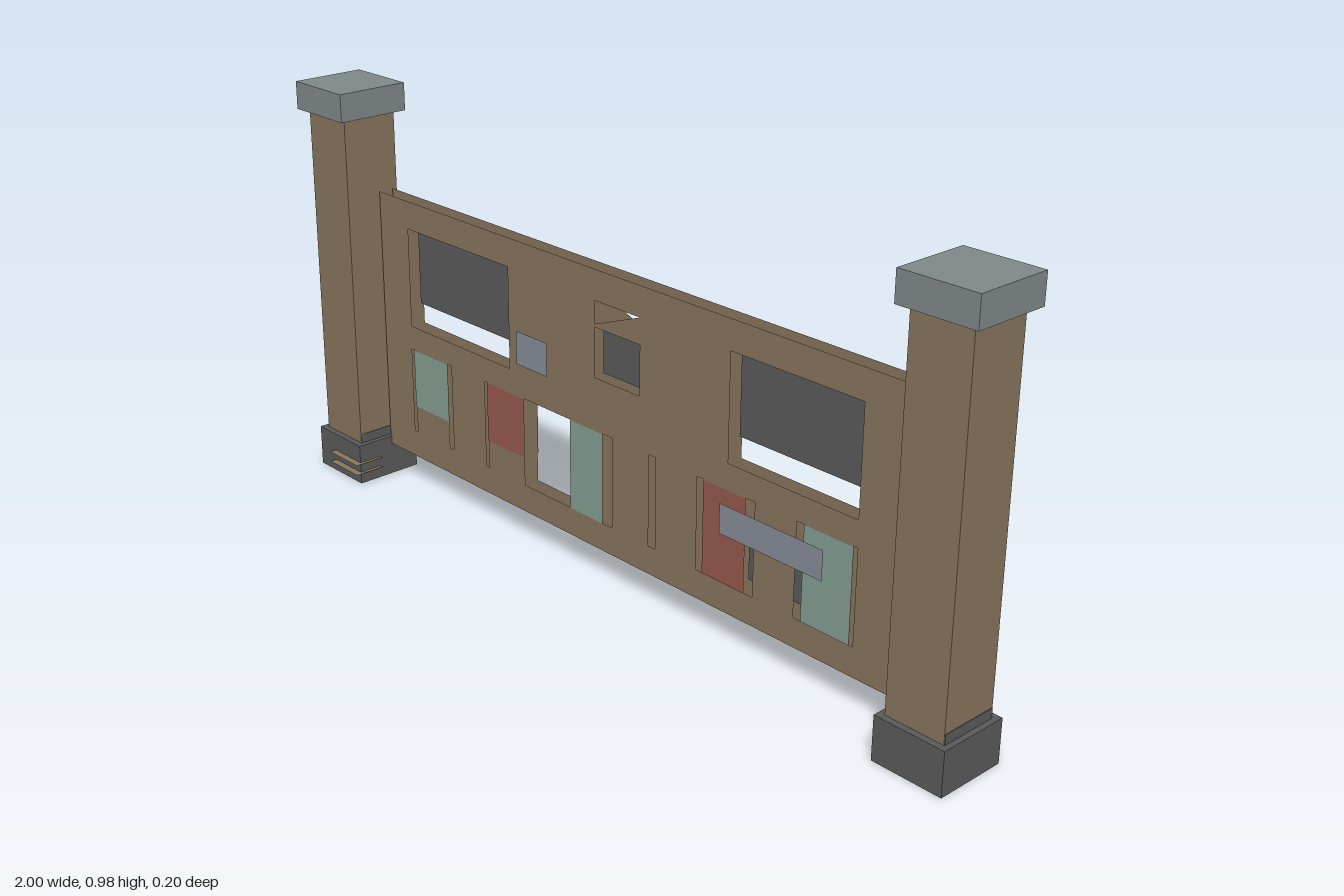
import * as THREE from 'three';

const mat = (name, color, side = THREE.FrontSide) => {
  const m = new THREE.MeshStandardMaterial({ color, side });
  m.name = name;
  return m;
};

export function createModel() {
  const model = new THREE.Group();
  model.name = 'gateWall';

  const brown = mat('brown plaster', 0x86755d, THREE.DoubleSide);
  const stone = mat('grey stone', 0x808889);
  const dark = mat('dark stone', 0x5a5a5a, THREE.DoubleSide);
  const teal = mat('teal paint', 0x839f93, THREE.DoubleSide);
  const red = mat('red paint', 0x96594c, THREE.DoubleSide);
  const sign = mat('blue grey plate', 0x868c95, THREE.DoubleSide);

  const add = (name, geometry, material, x, y, z) => {
    const mesh = new THREE.Mesh(geometry, material);
    mesh.name = name;
    mesh.position.set(x, y, z);
    model.add(mesh);
    return mesh;
  };
  // Flat upright plate given by its edges
  const plate = (name, material, x0, x1, y0, y1, z) =>
    add(name, new THREE.PlaneGeometry(x1 - x0, y1 - y0), material, (x0 + x1) / 2, (y0 + y1) / 2, z);

  // Posts with caps, bases and low ledges
  for (const side of [-1, 1]) {
    const x = side * 0.909;
    add('post', new THREE.BoxGeometry(0.14, 0.815, 0.14), brown, x, 0.5075, 0);
    add('postCap', new THREE.BoxGeometry(0.18, 0.066, 0.18), stone, side * 0.91, 0.947, 0);
    add('postBase', new THREE.BoxGeometry(0.168, 0.1, 0.17), dark, x, 0.05, 0);
    // Dark damp course on two faces of the post
    add('postBandSide', new THREE.BoxGeometry(0.003, 0.023, 0.138), dark, x + 0.07, 0.111, 0);
    add('postBandBack', new THREE.BoxGeometry(0.138, 0.023, 0.003), dark, x, 0.111, -0.07);
    // Thin horizontal ledges passing through the base
    for (const y of [0.03, 0.056]) {
      const ledge = add('baseLedge', new THREE.PlaneGeometry(0.115, 0.077), brown, side * 0.873, y, -side * 0.064);
      ledge.rotation.x = -Math.PI / 2;
    }
  }

  // Wall made of two open skins
  const FRONT = -0.012, BACK = -0.05, LOW = 0.147, HIGH = 0.361;
  const rect = (x0, x1, y0, y1) => [[x0, y0], [x1, y0], [x1, y1], [x0, y1]];
  const slots = [
    [-0.724, -0.713], [-0.585, -0.57], [-0.446, -0.435], [-0.305, -0.145], [-0.04, -0.01],
    [0.106, 0.127], [0.251, 0.271], [0.39, 0.415], [0.528, 0.549], [0.675, 0.685],
  ].map(([a, b]) => rect(a, b, LOW, HIGH));
  const windows = [[-0.72, -0.353], [0.338, 0.683]];

  const skin = (name, holes, z) => {
    const shape = new THREE.Shape(rect(-0.828, 0.79, 0.08, 0.73).map(p => new THREE.Vector2(...p)));
    for (const h of holes) shape.holes.push(new THREE.Path(h.map(p => new THREE.Vector2(...p))));
    add(name, new THREE.ShapeGeometry(shape), brown, 0, 0, z);
  };
  skin('wallFront', [
    ...slots,
    ...windows.map(([a, b]) => rect(a, b, 0.42, 0.662)),
    rect(-0.065, 0.076, 0.485, 0.6),
    [[-0.065, 0.607], [0.076, 0.66], [-0.065, 0.66]],
  ], FRONT);
  skin('wallBack', [
    ...slots,
    ...windows.map(([a, b]) => rect(a, b, 0.42, 0.475)),
    [[0.076, 0.607], [0.076, 0.66], [-0.065, 0.66]],
  ], BACK);

  // Recessed dark panes
  for (const [a, b] of windows) plate('windowPane', dark, a + 0.008, b - 0.008, 0.475, 0.652, -0.035);
  plate('smallPane', dark, -0.057, 0.068, 0.493, 0.592, -0.03);
  plate('innerPanel', dark, 0.385, 0.555, 0.17, 0.27, -0.031);

  // Painted panels on both skins
  const panels = [
    [teal, -0.713, -0.585, 0.216], [red, -0.435, -0.305, 0.216], [teal, -0.145, -0.04, LOW],
    [red, 0.271, 0.39, LOW], [teal, 0.549, 0.675, LOW],
  ];
  for (const [m, a, b, low] of panels) {
    plate('paintedPanelFront', m, a, b, low, HIGH, FRONT + 0.002);
    plate('paintedPanelBack', m, a, b, low, HIGH, BACK - 0.002);
  }

  // Blank plates on the front
  plate('smallSign', sign, -0.32, -0.215, 0.443, 0.522, -0.005);
  plate('longSign', sign, 0.328, 0.609, 0.264, 0.332, 0);

  return model;
}
